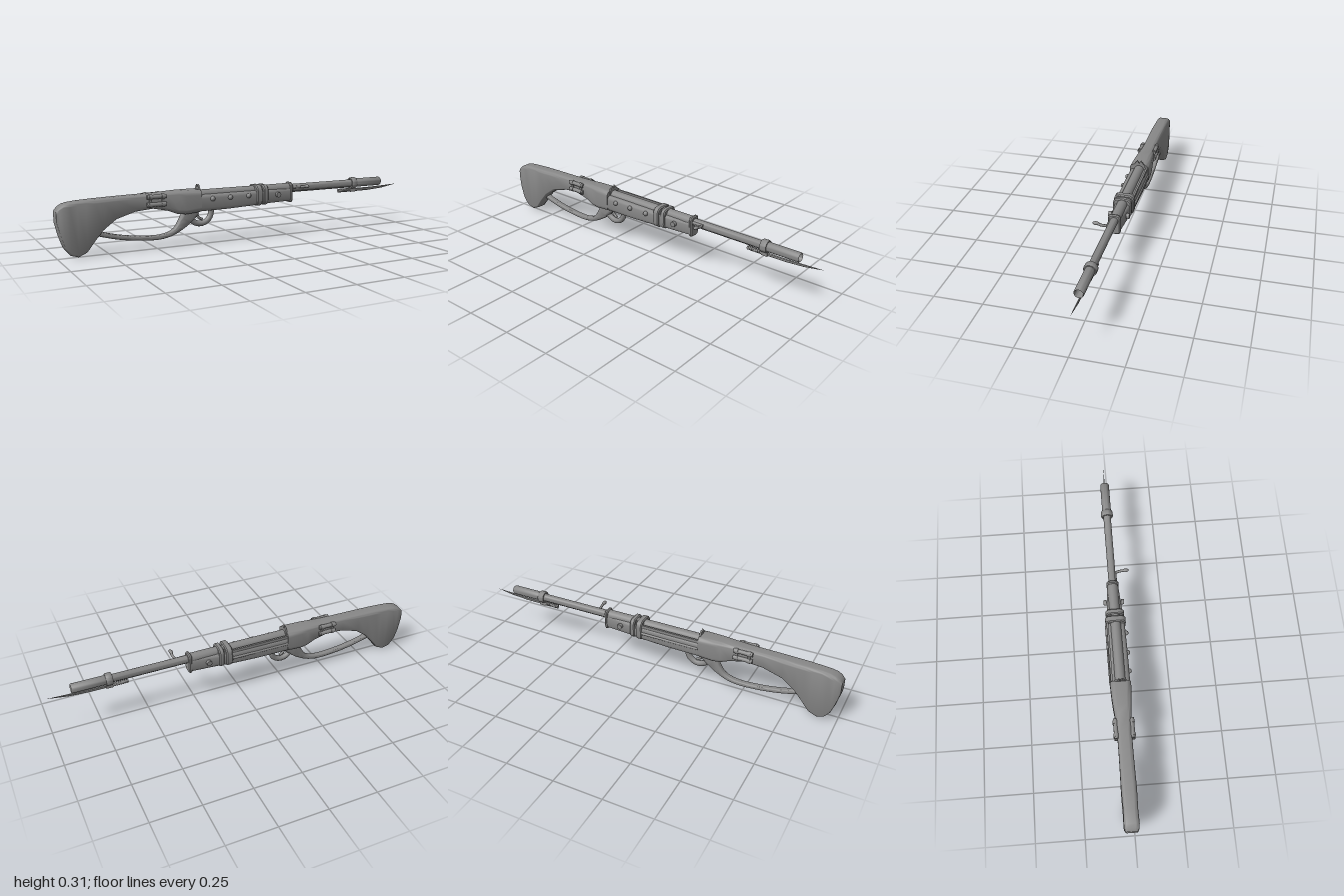
import * as THREE from 'three';
import { toCreasedNormals } from 'three/addons/utils/BufferGeometryUtils.js';

const material = new THREE.MeshStandardMaterial({ color: 0x888888, side: THREE.DoubleSide });

// Capped loft of rounded rectangles; section = [x, y, half height, half depth, tilt].
// corner is the corner radius as a share of the smaller half size, steps the points per corner.
function loft(sections, corner, steps = 6, crease = 0.7) {
  const pos = [], index = [], sides = steps * 4;
  for (const [x, y, h, w, tilt = 0] of sections) {
    const r = corner * Math.min(h, w);
    for (let j = 0; j < sides; j++) {
      const q = Math.floor(j / steps);
      const a = (q + (j % steps) / (steps - 1)) * Math.PI / 2;
      const u = (q < 2 ? 1 : -1) * (h - r) + r * Math.sin(a);
      const v = (q % 3 === 0 ? 1 : -1) * (w - r) + r * Math.cos(a);
      pos.push(x - Math.sin(tilt) * u, y + Math.cos(tilt) * u, v);
    }
  }
  const last = sections.length - 1, first = sections.length * sides;
  for (const s of [sections[0], sections[last]]) pos.push(s[0], s[1], 0);
  for (let j = 0; j < sides; j++) {
    const k = (j + 1) % sides;
    for (let i = 0; i < last; i++) {
      const a = i * sides, b = a + sides;
      index.push(a + j, b + j, a + k, b + j, b + k, a + k);
    }
    index.push(first, j, k, first + 1, last * sides + k, last * sides + j);
  }
  const g = new THREE.BufferGeometry();
  g.setAttribute('position', new THREE.Float32BufferAttribute(pos, 3));
  g.setIndex(index);
  return toCreasedNormals(g, crease);
}

// Section from bottom and top heights.
const span = ([x, bottom, top, w]) => [x, (bottom + top) / 2, (top - bottom) / 2, w];

// Cylinder along x.
const rod = (length, r, sides = 16) => new THREE.CylinderGeometry(r, r, length, sides).rotateZ(Math.PI / 2);

export function createModel() {
  const model = new THREE.Group();
  const add = (name, geometry, x = 0, y = 0, z = 0) => {
    const mesh = new THREE.Mesh(geometry, material);
    mesh.name = name;
    mesh.position.set(x, y, z);
    model.add(mesh);
  };

  // Shoulder stock, wrist and receiver
  add('stock', loft([
    [-1, 0.165, 0.232, 0.030], [-0.985, 0.105, 0.248, 0.036], [-0.965, 0.047, 0.26, 0.038],
    [-0.937, 0.011, 0.266, 0.037], [-0.9, 0, 0.27, 0.036], [-0.858, 0.019, 0.272, 0.037],
    [-0.82, 0.068, 0.274, 0.038], [-0.775, 0.12, 0.275, 0.038], [-0.71, 0.168, 0.277, 0.037],
    [-0.61, 0.198, 0.279, 0.036], [-0.52, 0.205, 0.28, 0.037], [-0.44, 0.188, 0.283, 0.042],
    [-0.39, 0.168, 0.285, 0.047], [-0.35, 0.163, 0.285, 0.05], [-0.29, 0.168, 0.285, 0.053],
    [-0.268, 0.17, 0.284, 0.053],
  ].map(span), 0.5, 6, 0.8));

  // Looped hand grip below the wrist
  const path = new THREE.CatmullRomCurve3([
    [-0.82, 0.108], [-0.7, 0.076], [-0.58, 0.058], [-0.47, 0.055], [-0.405, 0.073],
    [-0.358, 0.112], [-0.325, 0.152], [-0.295, 0.185],
  ].map(([x, y]) => new THREE.Vector3(x, y, 0)));
  const grip = [];
  for (let i = 0; i <= 32; i++) {
    const t = i / 32, p = path.getPointAt(t), d = path.getTangentAt(t);
    const thick = 0.012 + 0.028 * THREE.MathUtils.smoothstep(t, 0.68, 0.97);
    grip.push([p.x, p.y, thick, 0.016 + 0.01 * Math.max(0, t - 0.6), Math.atan2(d.y, d.x)]);
  }
  add('gripLoop', loft(grip, 0.85, 5));

  // Trigger and its guard
  add('triggerGuard', new THREE.TorusGeometry(0.061, 0.015, 10, 28, Math.PI * 1.05).rotateZ(Math.PI), -0.256, 0.164);
  add('trigger', new THREE.TubeGeometry(new THREE.QuadraticBezierCurve3(
    new THREE.Vector3(-0.275, 0.175, 0), new THREE.Vector3(-0.28, 0.135, 0),
    new THREE.Vector3(-0.245, 0.125, 0)), 10, 0.007, 8));

  // Fore-end with the barrel cover let into its top
  add('foreEnd', loft([
    [-0.27, 0.172, 0.258, 0.05], [-0.1, 0.174, 0.258, 0.05],
    [0.06, 0.18, 0.257, 0.047], [0.13, 0.183, 0.256, 0.04], [0.27, 0.185, 0.256, 0.029],
  ].map(span), 0.45, 4));
  add('barrelCover', rod(0.55, 0.027, 24), 0.0, 0.253);
  add('coverRail', new THREE.BoxGeometry(0.32, 0.016, 0.01), -0.11, 0.262, -0.043);
  add('sideRail', rod(0.32, 0.007), -0.11, 0.222, -0.049);

  // Bands around the fore-end
  const band = (name, x, length, bottom, top, w) => {
    const e = 0.005;
    add(name, loft([
      [x, bottom + e, top - e, w - e], [x + e, bottom, top, w],
      [x + length - e, bottom, top, w], [x + length, bottom + e, top - e, w - e],
    ].map(span), 0.55, 5, 0.5));
  };
  band('rearBand', 0.05, 0.034, 0.175, 0.285, 0.053);
  band('middleBand', 0.094, 0.027, 0.177, 0.284, 0.048);
  band('frontBand', 0.264, 0.018, 0.176, 0.285, 0.031);

  // Rivets on the left side and a cross bolt
  for (const x of [-0.207, -0.107, 0]) {
    add('rivet', new THREE.SphereGeometry(0.013, 14, 10), x, 0.236, 0.05);
  }
  add('crossBolt', new THREE.CylinderGeometry(0.006, 0.006, 0.1, 12).rotateX(Math.PI / 2), 0.18, 0.228);
  for (const side of [-1, 1]) {
    add('crossBoltHead', new THREE.CylinderGeometry(0.014, 0.014, 0.016, 16).rotateX(Math.PI / 2), 0.18, 0.228, side * 0.046);
  }

  // Notched rear sight
  const sight = new THREE.Shape([
    [-0.034, 0.265], [0.034, 0.265], [0.03, 0.282], [0.009, 0.309], [0, 0.291], [-0.009, 0.309], [-0.03, 0.282],
  ].map(([x, y]) => new THREE.Vector2(x, y)));
  add('rearSight', new THREE.ExtrudeGeometry(sight, { depth: 0.008, bevelEnabled: false }).rotateY(Math.PI / 2), -0.273);

  // Hollow barrel
  const profile = [
    [0.001, 0.72], [0.017, 0.8], [0.018, 0.873], [0.021, 0.88], [0.024, 0.875],
    [0.024, 0.7], [0.02, 0.69], [0.02, 0.25],
  ].map(([r, x]) => new THREE.Vector2(r, x));
  add('barrel', toCreasedNormals(new THREE.LatheGeometry(profile, 28), 0.6).rotateZ(-Math.PI / 2), 0, 0.253);
  add('underRod', rod(0.42, 0.006, 12), 0.48, 0.234);

  // Bolt with its turned-out handle
  add('boltRod', rod(0.08, 0.007, 12), 0.305, 0.257, 0.018);
  add('boltHandle', new THREE.TubeGeometry(new THREE.CatmullRomCurve3([
    new THREE.Vector3(0.335, 0.256, 0.01), new THREE.Vector3(0.343, 0.26, 0.045),
    new THREE.Vector3(0.342, 0.268, 0.078)]), 12, 0.007, 10));
  add('boltKnob', new THREE.SphereGeometry(0.01, 14, 10).scale(1, 0.9, 1.8), 0.342, 0.267, 0.074);

  // Bayonet: clamp, ribbed handle and blade
  const ring = [[0.022, -0.017], [0.029, -0.017], [0.032, -0.012], [0.032, 0.012], [0.029, 0.017], [0.022, 0.017]];
  add('bayonetClamp', toCreasedNormals(new THREE.LatheGeometry(
    ring.map(([r, x]) => new THREE.Vector2(r, x)), 28), 0.6).rotateZ(-Math.PI / 2), 0.692, 0.253);
  add('clampLug', new THREE.BoxGeometry(0.034, 0.032, 0.016), 0.692, 0.219);
  add('bayonetHandle', rod(0.09, 0.008, 12), 0.64, 0.214);
  for (let i = 0; i < 8; i++) add('handleRib', rod(0.006, 0.0105, 12), 0.6 + i * 0.0105, 0.214);
  add('bayonetBlade', loft([
    [0.68, 0.204, 0.222, 0.005], [0.8, 0.205, 0.222, 0.004], [0.9, 0.212, 0.225, 0.003], [1, 0.2285, 0.229, 0.0002],
  ].map(span), 0.9, 2, 0.2));

  // Spare rounds strapped to both sides of the wrist
  for (const side of [-1, 1]) {
    for (const y of [0.267, 0.228]) add('spareRound', rod(0.1, 0.011), -0.508, y, side * 0.041);
    for (const x of [-0.54, -0.475]) {
      for (const y of [0.267, 0.228]) add('strapLoop', rod(0.015, 0.0135), x, y, side * 0.041);
      add('holderStrap', new THREE.BoxGeometry(0.013, 0.045, 0.012), x, 0.247, side * 0.039);
    }
  }

  model.position.z = -0.017;
  const root = new THREE.Group();
  root.name = 'rifle';
  root.add(model);
  return root;
}
